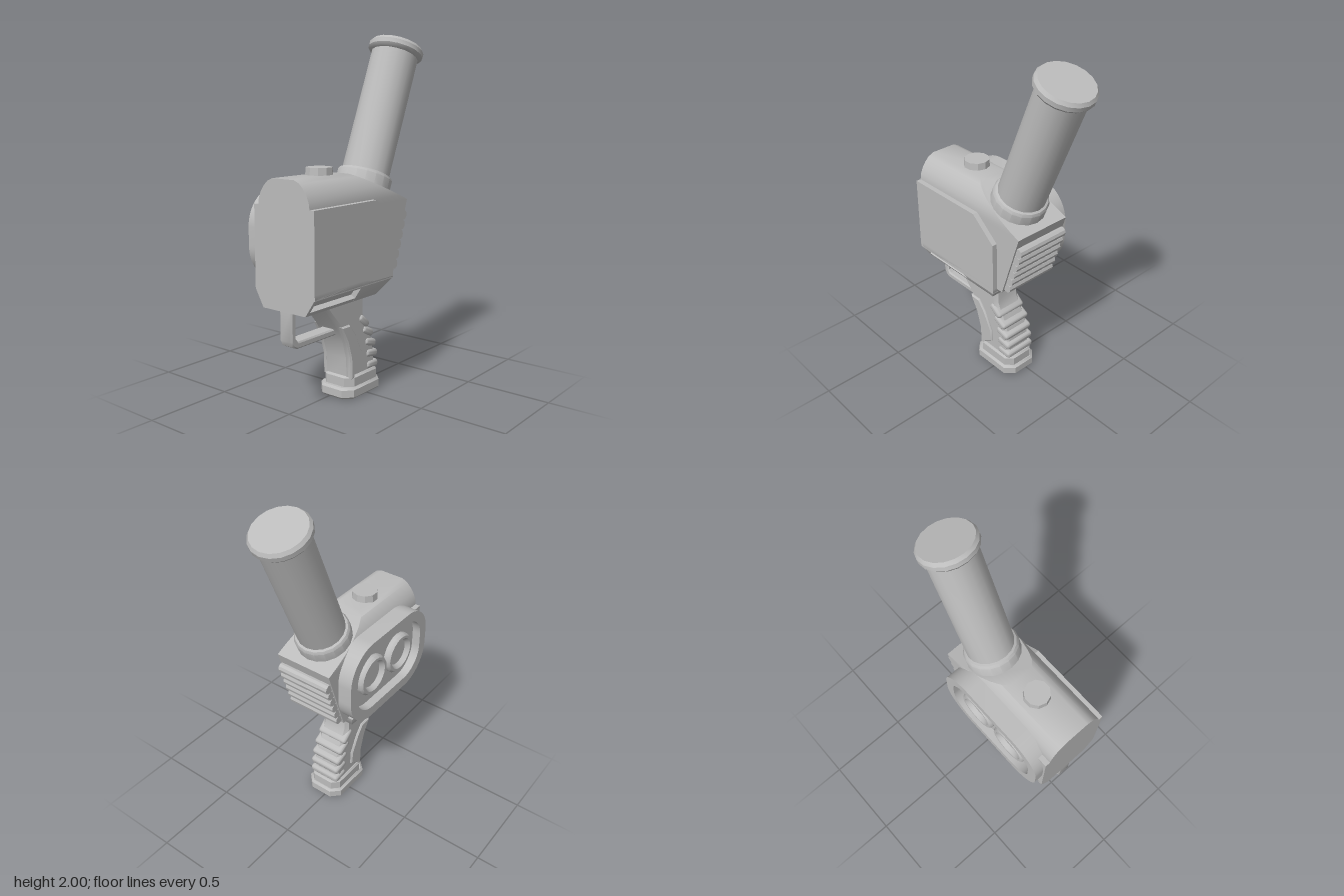
import * as THREE from 'three';
import { toCreasedNormals } from 'three/addons/utils/BufferGeometryUtils.js';
import { RoundedBoxGeometry } from 'three/addons/geometries/RoundedBoxGeometry.js';

const CX = 0.025; // centre line of body, tube and grip

export function createModel() {
  const model = new THREE.Group();
  const grey = new THREE.MeshStandardMaterial({ color: 0xbcbcbc });
  grey.name = 'plain grey';

  const add = (name, geo, parent = model) => {
    const mesh = new THREE.Mesh(toCreasedNormals(geo, 0.6), grey);
    mesh.name = name;
    parent.add(mesh);
    return mesh;
  };
  const group = (name) => {
    const g = new THREE.Group();
    g.name = name;
    model.add(g);
    return g;
  };
  const shapeOf = (pts) => new THREE.Shape(pts.map(([a, b]) => new THREE.Vector2(a, b)));
  // profile in (x, y) swept from z0 to z1
  const alongZ = (pts, z0, z1) => {
    const geo = new THREE.ExtrudeGeometry(shapeOf(pts), { depth: z1 - z0, bevelEnabled: false });
    return geo.translate(0, 0, z0);
  };
  // profile in (z, y) swept from x0 to x1, with an optional bevel kept inside that span
  const alongX = (shape, x0, x1, bevel = 0) => {
    const geo = new THREE.ExtrudeGeometry(shape, {
      depth: x1 - x0 - 2 * bevel, bevelEnabled: bevel > 0, bevelSize: bevel,
      bevelThickness: bevel, bevelOffset: -bevel, bevelSegments: 1, curveSegments: 10,
    });
    return geo.rotateY(-Math.PI / 2).translate(x1 - bevel, 0, 0);
  };
  // slide the vertices of the rear end to a z that depends on y
  const slantRear = (geo, zRear, rule) => {
    const p = geo.attributes.position;
    for (let i = 0; i < p.count; i++) {
      if (Math.abs(p.getZ(i) - zRear) < 1e-4) p.setZ(i, rule(p.getY(i)));
    }
    return geo;
  };

  // Upper body: arched roof cut by a slanted plane, above a box with a sloping back
  const half = [[0.175, 1.08], [0.175, 1.11], [0.17, 1.145], [0.155, 1.18], [0.134, 1.21], [0.108, 1.235], [0.075, 1.25]];
  const arch = [
    ...half.map(([x, y]) => [CX + x, y]),
    ...half.slice().reverse().map(([x, y]) => [CX - x, y]),
  ];
  add('roof', slantRear(alongZ(arch, -0.2, 0.55), -0.2, (y) => 0.13 - (1.25 - y) * 2.41));
  const rearZ = (y) => -0.15 - (y - 0.68) * 0.325;
  const core = [[-0.15, 0.68], [0.2, 0.68], [0.2, 1.08], [-0.15, 1.08]];
  add('body', slantRear(alongZ(core, -0.2, 0.55), -0.2, rearZ));

  // Flat cover on the left side and the narrow front post on the right
  add('sidePanel', alongX(shapeOf([
    [0.55, 0.66], [0.55, 1.11], [0.045, 1.11], [-0.11, 0.98], [-0.11, 0.66],
  ]), 0.19, 0.23));
  add('frontPost', alongX(shapeOf([
    [0.55, 0.66], [0.55, 1.11], [0.47, 1.11], [0.47, 0.66],
  ]), -0.18, -0.14));

  // Lower hull with chamfered sides; the middle length has a slot in its left chamfer
  const hull = (slot) => [
    [-0.125, 0.57], [0.167, 0.57], ...slot, [0.23, 0.665], [0.23, 0.69], [-0.18, 0.69], [-0.18, 0.665],
  ];
  const slot = [[0.18, 0.59], [0.155, 0.607], [0.195, 0.667], [0.22, 0.65]];
  const lower = group('lowerHull');
  add('hullRear', slantRear(alongZ(hull([]), -0.11, 0.17), -0.11,
    (y) => -0.11 + Math.max(0, 0.665 - y) * 0.8), lower);
  add('hullSlotted', alongZ(hull(slot), 0.17, 0.53), lower);
  add('hullFront', alongZ(hull([]), 0.53, 0.55), lower);

  // Rear ribs
  const ribs = group('rearRibs');
  for (let i = 0; i < 6; i++) {
    const y = 0.99 - i * 0.054;
    const rib = new THREE.CylinderGeometry(0.029, 0.029, 0.33, 10).rotateZ(Math.PI / 2);
    add('rib', rib.translate(CX, y, rearZ(y) - 0.014), ribs);
  }

  // Tilted tube with a collar at the bottom and a rim at the top
  const tubePts = [
    [0, 0], [0.157, 0], [0.157, 0.09], [0.148, 0.105], [0.136, 0.11], [0.136, 0.815],
    [0.148, 0.82], [0.16, 0.835], [0.16, 0.86], [0.147, 0.878], [0, 0.878],
  ].map(([r, y]) => new THREE.Vector2(r, y));
  const tube = add('tube', new THREE.LatheGeometry(tubePts, 18));
  tube.position.set(CX, 1.13, -0.08);
  tube.rotation.x = -Math.PI / 8;

  // Round button on the roof
  add('button', new THREE.CylinderGeometry(0.072, 0.077, 0.06, 10).translate(0.013, 1.26, 0.262));

  // Oval housing with two lenses on the right side
  const oval = (hw, hh, r, Kind) => {
    const s = new Kind();
    const z = 0.17, y = 0.93, q = Math.PI / 2;
    s.absarc(z + hw - r, y + hh - r, r, 0, q);
    s.absarc(z - hw + r, y + hh - r, r, q, 2 * q);
    s.absarc(z - hw + r, y - hh + r, r, 2 * q, 3 * q);
    s.absarc(z + hw - r, y - hh + r, r, 3 * q, 4 * q);
    s.closePath();
    return s;
  };
  const housing = group('lensHousing');
  const rim = oval(0.37, 0.25, 0.2, THREE.Shape);
  rim.holes.push(oval(0.31, 0.19, 0.15, THREE.Path));
  add('housingRim', alongX(rim, -0.235, -0.13), housing);
  add('housingFloor', alongX(oval(0.33, 0.21, 0.17, THREE.Shape), -0.185, -0.13), housing);
  const lensPts = [
    [0.122, 0], [0.122, 0.025], [0.112, 0.04], [0.096, 0.04], [0.08, 0.012], [0, 0.012],
  ].map(([r, y]) => new THREE.Vector2(r, y));
  for (const z of [0.04, 0.3]) {
    const lens = new THREE.LatheGeometry(lensPts, 20).rotateZ(Math.PI / 2);
    add('lens', lens.translate(-0.184, 0.93, z), housing);
  }

  // Grip: core, wider front frame, rear finger bands
  const grip = group('grip');
  add('gripCore', alongX(shapeOf([
    [0.35, 0.58], [0, 0.58], [0, 0.47], [-0.02, 0.42], [-0.06, 0.35], [-0.095, 0.24], [-0.105, 0.08],
    [0.135, 0.08], [0.14, 0.23], [0.17, 0.33], [0.22, 0.42],
  ]), CX - 0.09, CX + 0.09, 0.02), grip);
  for (const side of [-1, 1]) {
    add('gripFrame', alongX(shapeOf([
      [0.215, 0.425], [0.14, 0.425], [0.09, 0.36], [0.035, 0.25], [0.035, 0.17], [0.1, 0.13], [0.1, 0.11],
      [0.13, 0.11], [0.135, 0.23], [0.165, 0.33],
    ]), CX + side * 0.085 - 0.018, CX + side * 0.085 + 0.018, 0.008), grip);
  }
  const bands = [[0.005, 0.414, 40], [-0.032, 0.348, 28], [-0.055, 0.278, 18], [-0.067, 0.212, 10], [-0.071, 0.146, 4]];
  for (const [z, y, tilt] of bands) {
    const band = add('gripBand', new RoundedBoxGeometry(0.2, 0.045, 0.1, 2, 0.018), grip);
    band.position.set(CX, y, z);
    band.rotation.x = -THREE.MathUtils.degToRad(tilt);
  }

  // Foot of the grip: two stacked plates with cut corners
  const plate = (hx, z0, z1, y0, y1, c, bevel) => {
    const s = shapeOf([
      [CX - hx + c, -z1], [CX + hx - c, -z1], [CX + hx, -z1 + c], [CX + hx, -z0 - c],
      [CX + hx - c, -z0], [CX - hx + c, -z0], [CX - hx, -z0 - c], [CX - hx, -z1 + c],
    ]);
    return new THREE.ExtrudeGeometry(s, {
      depth: y1 - y0 - 2 * bevel, bevelSize: bevel, bevelThickness: bevel, bevelOffset: -bevel, bevelSegments: 1,
    }).rotateX(-Math.PI / 2).translate(0, y0 + bevel, 0);
  };
  add('gripCollar', plate(0.105, -0.13, 0.15, 0.05, 0.125, 0.04, 0.01), grip);
  add('gripFoot', plate(0.119, -0.147, 0.18, 0, 0.065, 0.05, 0.012), grip);

  // Trigger guard
  add('triggerGuard', alongX(shapeOf([
    [0.545, 0.58], [0.508, 0.58], [0.508, 0.425], [0.49, 0.408], [0.17, 0.408], [0.17, 0.37],
    [0.5, 0.37], [0.53, 0.385], [0.545, 0.415],
  ]), CX - 0.043, CX + 0.043, 0.008));

  return model;
}
